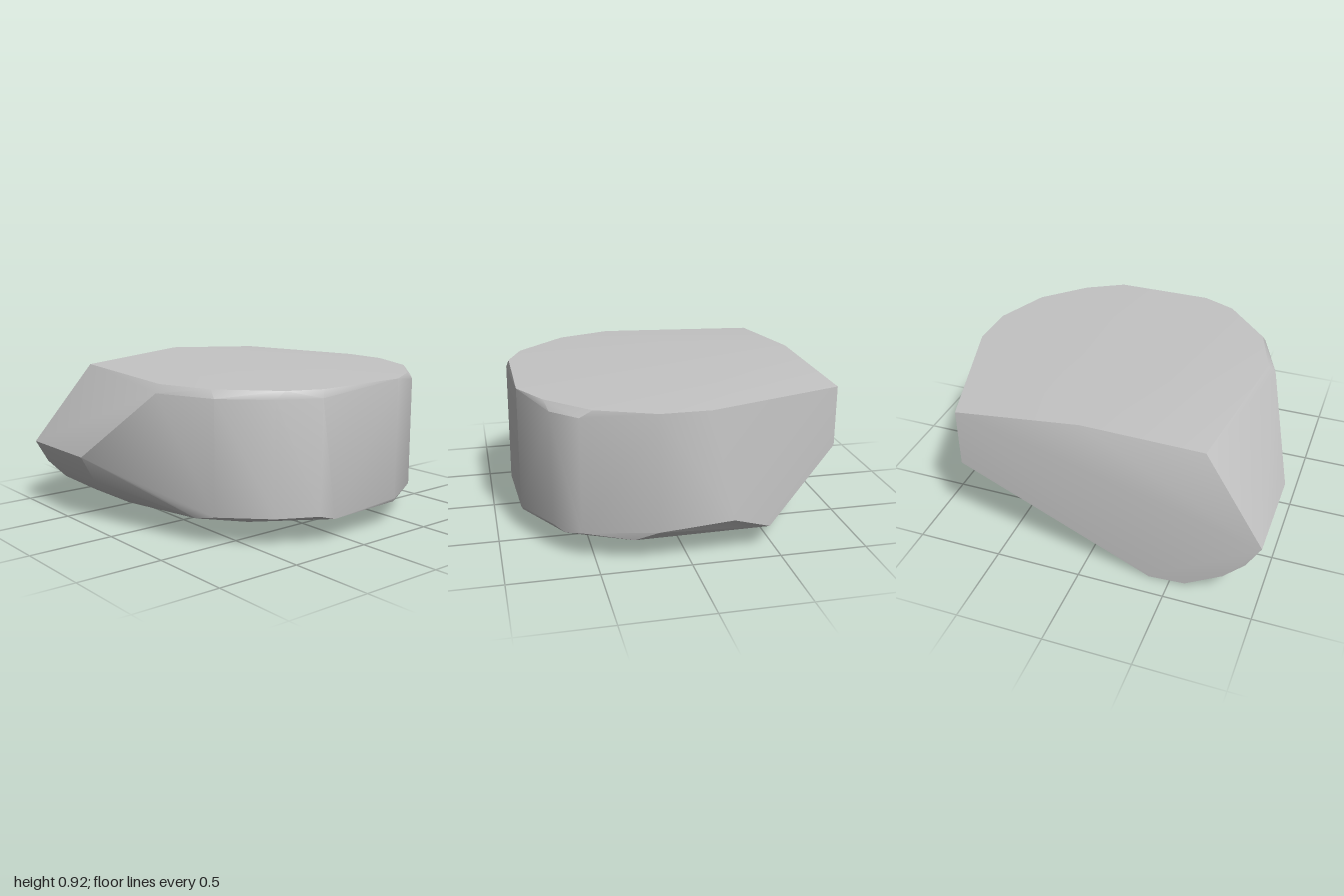
import * as THREE from 'three';
import { ConvexGeometry } from 'three/addons/geometries/ConvexGeometry.js';
import { toCreasedNormals } from 'three/addons/utils/BufferGeometryUtils.js';

const stone = new THREE.MeshStandardMaterial({ color: 0xc4c4c4 });
stone.name = 'stone grey';

// Corner points (x, y, z) of the cut block, level by level
const levels = {
  // low peak and rim of the top face
  top: [
    [-0.83, 0.915, -0.03], [-0.88, 0.865, -0.74], [-0.1, 0.865, -0.98], [0.18, 0.865, -0.98],
    [0.5, 0.865, -0.85], [0.73, 0.865, -0.62], [0.855, 0.865, -0.4], [0.855, 0.865, 0.18],
    [0.77, 0.865, 0.38], [0.48, 0.865, 0.65], [0.16, 0.865, 0.76], [-0.78, 0.865, 0.65],
  ],
  // bevel just below the rim
  bevel: [
    [0.18, 0.82, 0.8], [0.52, 0.82, 0.66], [0.75, 0.82, 0.43], [0.87, 0.82, 0.2],
    [0.57, 0.82, -0.83], [0.71, 0.82, -0.69],
  ],
  // lower end of the round wall
  wall: [
    [0.2, 0.235, 0.79], [0.52, 0.17, 0.66], [0.75, 0.17, 0.43], [0.87, 0.17, 0.21],
    [0.86, 0.16, -0.4], [0.71, 0.17, -0.69], [0.57, 0.17, -0.84], [0.18, 0.2, -0.98],
    [-0.23, 0.24, -1], [-0.88, 0.52, -0.74],
  ],
  // protruding front edge, curving under
  front: [
    [-0.88, 0.4, 1], [-0.31, 0.4, 1], [-0.88, 0.26, 0.92], [-0.31, 0.25, 0.92],
    [-0.88, 0.14, 0.8], [-0.31, 0.15, 0.81],
  ],
  // tilted underside
  base: [
    [-0.88, 0, 0.38], [-0.88, 0.015, 0.59], [-0.31, 0.07, 0.68], [0.4, 0.145, 0.7],
    [0.63, 0.145, 0.52], [0.88, 0.14, 0.11], [0.85, 0.14, -0.4], [0.65, 0.14, -0.75],
    [0.3, 0.14, -0.92], [-0.46, 0.14, -0.91],
  ],
};

export function createModel() {
  const group = new THREE.Group();
  group.name = 'cutStone';
  const points = Object.values(levels).flat().map((p) => new THREE.Vector3(...p));
  // smooth round wall, sharp cuts
  const geometry = toCreasedNormals(new ConvexGeometry(points), 0.56);
  const block = new THREE.Mesh(geometry, stone);
  block.name = 'stoneBlock';
  group.add(block);
  return group;
}
